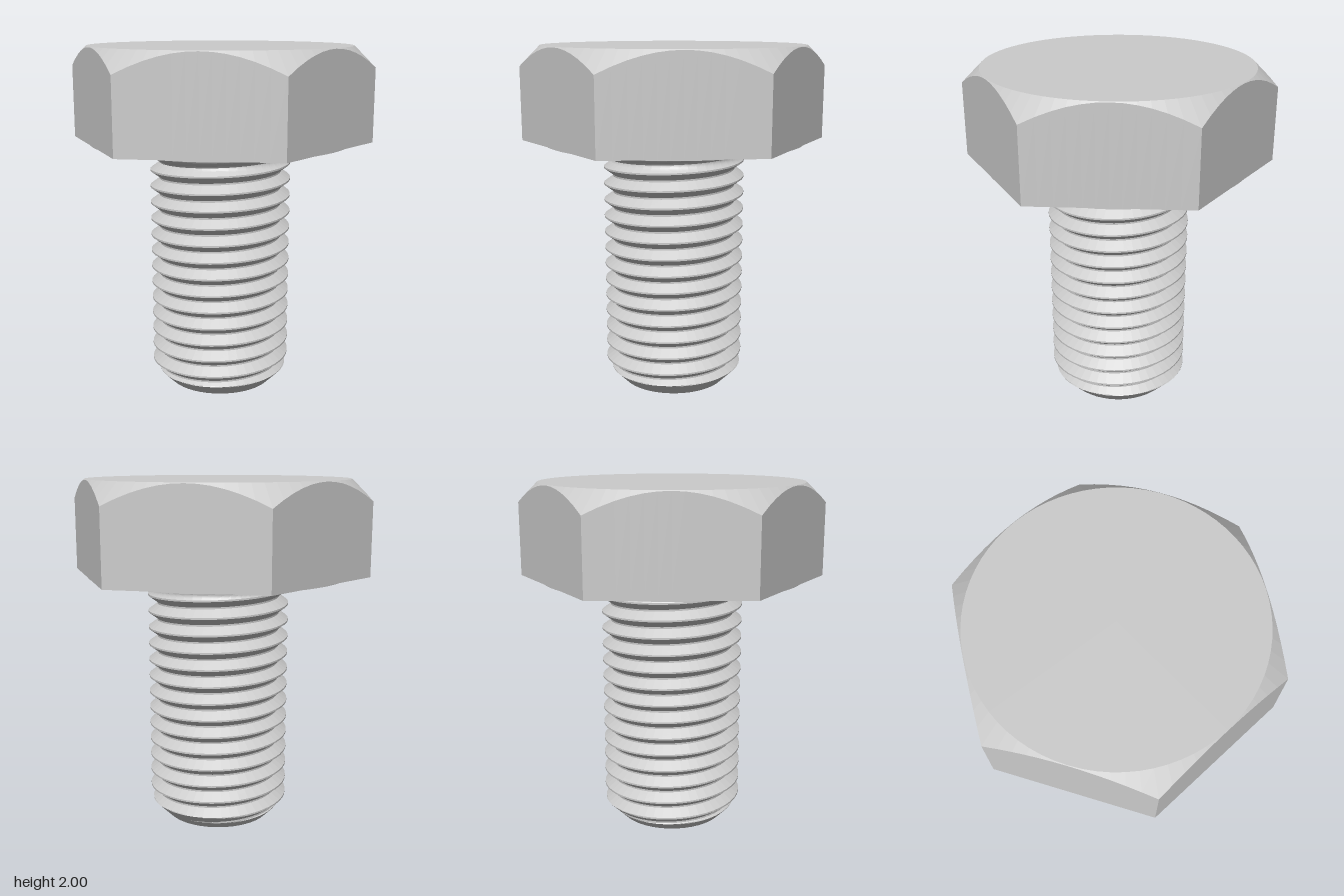
import * as THREE from 'three';

const HEAD_BOTTOM = 1.46, TOP = 2, SHANK_R = 0.41, ROOT_R = 0.357, PITCH = 0.0971;
const clamp = THREE.MathUtils.clamp;

// Closed skin swept round the y axis; profile(angle, row) gives [radius, height].
// Angles run from -x through +z to +x.
function sweep(columns, rows, profile) {
  const point = (i, j) => {
    const a = (i / columns) * Math.PI * 2;
    const [r, y] = profile(a, j);
    return new THREE.Vector3(-r * Math.cos(a), y, r * Math.sin(a));
  };
  const positions = [];
  const tri = new THREE.Triangle();
  const add = (a, b, c) => {
    if (tri.set(a, b, c).getArea() < 1e-9) return;
    for (const v of [a, b, c]) positions.push(v.x, v.y, v.z);
  };
  for (let i = 0; i < columns; i++) {
    for (let j = 0; j < rows; j++) {
      const a = point(i, j), b = point(i + 1, j), c = point(i + 1, j + 1), d = point(i, j + 1);
      add(a, b, c);
      add(a, c, d);
    }
  }
  const geometry = new THREE.BufferGeometry();
  geometry.setAttribute('position', new THREE.Float32BufferAttribute(positions, 3));
  geometry.computeVertexNormals();
  return geometry;
}

// Hexagonal head whose top corners are cut by a 45 degree cone
function headGeometry() {
  const apothem = 0.758, faceR = 0.755;
  return sweep(72, 4, (a, j) => {
    const hexR = apothem / Math.cos((a % (Math.PI / 3)) - Math.PI / 6);
    return [
      [0, HEAD_BOTTOM],
      [hexR, HEAD_BOTTOM],
      [hexR, TOP - (hexR - faceR)],
      [faceR, TOP],
      [0, TOP],
    ][j];
  });
}

// Right-hand V thread with a chamfered tip, running out into a plain collar
function shankGeometry() {
  const perTurn = 20, turns = 17, tipR = 0.31;
  const rows = perTurn * turns;
  return sweep(48, rows + 1, (a, j) => {
    if (j === 0) return [0, 0]; // centre of the flat tip
    const row = j - 1;
    const y = clamp(0.12 + PITCH * (row / perTurn - 3 + a / (Math.PI * 2)), 0, HEAD_BOTTOM);
    const u = (row % perTurn) / perTurn;
    const groove = clamp((Math.min(u, 1 - u) * 2 - 0.1) / 0.8, 0, 1);
    const fade = clamp((1.41 - y) / 0.07, 0, 1);
    const threadR = SHANK_R - (SHANK_R - ROOT_R) * groove * fade;
    return [Math.min(threadR, tipR + y), y];
  });
}

export function createModel() {
  const group = new THREE.Group();
  group.name = 'hexBolt';
  const material = new THREE.MeshStandardMaterial({ color: 0xcccccc, flatShading: true });
  const add = (name, geometry) => {
    const mesh = new THREE.Mesh(geometry, material);
    mesh.name = name;
    group.add(mesh);
    return mesh;
  };

  add('hexHead', headGeometry());
  add('threadedShank', shankGeometry());

  // Thin bearing face under the head
  add('washerFace', new THREE.CylinderGeometry(0.755, 0.755, 0.012, 72)).position.y = HEAD_BOTTOM;

  return group;
}
